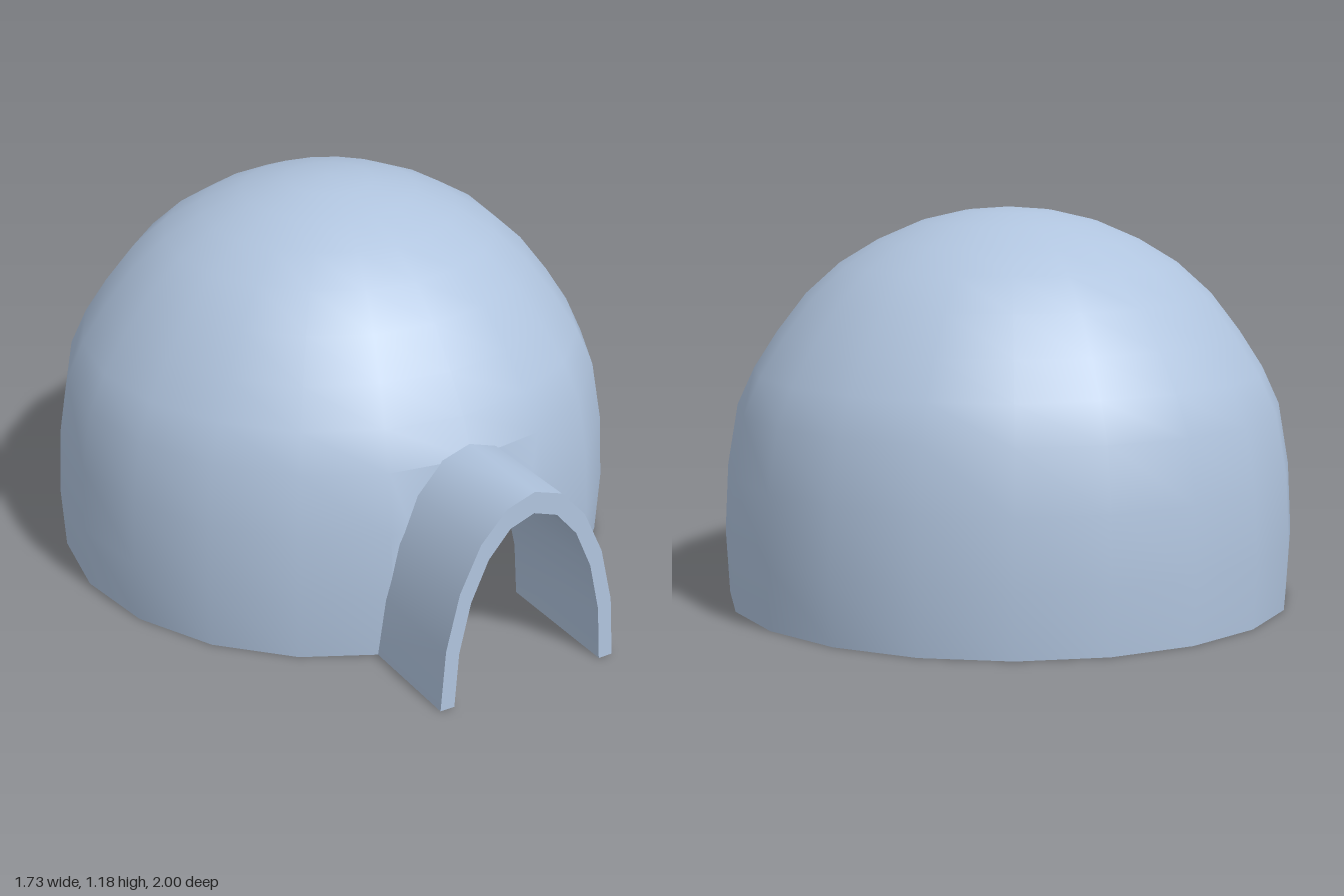
import * as THREE from 'three';
import { mergeGeometries, mergeVertices, toCreasedNormals } from 'three/addons/utils/BufferGeometryUtils.js';

const SIDES = 20, STEP = (Math.PI * 2) / SIDES;
const RADIUS = 0.864, CENTRE_Z = -0.136;

// Heights of the dome rings from the ground to the crown; the widest is the second.
const RING_Y = [0, 0.194, 0.397, 0.582, 0.695, 0.805, 0.92, 1.013, 1.083, 1.137, 1.168, 1.18];
const ringRadius = (i) => RADIUS * Math.sin((11 - i) * Math.PI / 20);
const profile = RING_Y.map((y, i) => new THREE.Vector2(i === 11 ? 0 : ringRadius(i), y));

// Half widths of the doorway cut at the lowest four rings.
const DOOR_HALF = [0.262, 0.258, 0.2, 0.06];

// Strip of dome wall between the doorway cut and the first whole panel.
function doorSide(sign) {
  const pos = [], index = [];
  DOOR_HALF.forEach((x, i) => {
    const r = profile[i].x, edge = r * Math.sin(STEP);
    const z = r * (1 + (x / edge) * (Math.cos(STEP) - 1));
    pos.push(sign * x, RING_Y[i], z, sign * edge, RING_Y[i], r * Math.cos(STEP));
    if (i < 3) {
      const a = i * 2, b = a + 1, c = a + 3, d = a + 2;
      index.push(...(sign > 0 ? [a, b, c, a, c, d] : [a, c, b, a, d, c]));
    }
  });
  const g = new THREE.BufferGeometry();
  g.setAttribute('position', new THREE.Float32BufferAttribute(pos, 3));
  g.setIndex(index);
  return g;
}

// Open dome shell with a doorway in the front.
function domeGeometry() {
  const lower = new THREE.LatheGeometry(profile.slice(0, 4), SIDES - 2, STEP, Math.PI * 2 - 2 * STEP);
  const upper = new THREE.LatheGeometry(profile.slice(3), SIDES);
  for (const g of [lower, upper]) {
    g.deleteAttribute('normal');
    g.deleteAttribute('uv');
  }
  const g = mergeVertices(mergeGeometries([lower, upper, doorSide(1), doorSide(-1)]), 1e-3);
  g.computeVertexNormals();
  return g;
}

// Ten-sided half ellipse from the model's left foot to its right foot.
function archPoints(halfWidth, height) {
  return Array.from({ length: 11 }, (_, i) => {
    const a = (i * Math.PI) / 10;
    return new THREE.Vector2(halfWidth * Math.cos(a), height * Math.sin(a));
  });
}

// Thick arched passage running from inside the dome to the front.
function tunnelGeometry() {
  const back = 0.57, front = 1;
  const shape = new THREE.Shape([...archPoints(0.296, 0.62), ...archPoints(0.25, 0.553).reverse()]);
  const g = new THREE.ExtrudeGeometry(shape, { depth: front - back, bevelEnabled: false });
  g.translate(0, 0, back);
  return toCreasedNormals(g, 0.8);
}

export function createModel() {
  const group = new THREE.Group();
  group.name = 'domeShelter';
  const ice = new THREE.MeshStandardMaterial({ color: 0xb0c4de, side: THREE.DoubleSide });
  ice.name = 'paleIceBlue';

  const dome = new THREE.Mesh(domeGeometry(), ice);
  dome.name = 'dome';
  dome.position.z = CENTRE_Z;

  const tunnel = new THREE.Mesh(tunnelGeometry(), ice);
  tunnel.name = 'entranceTunnel';

  group.add(dome, tunnel);
  return group;
}
